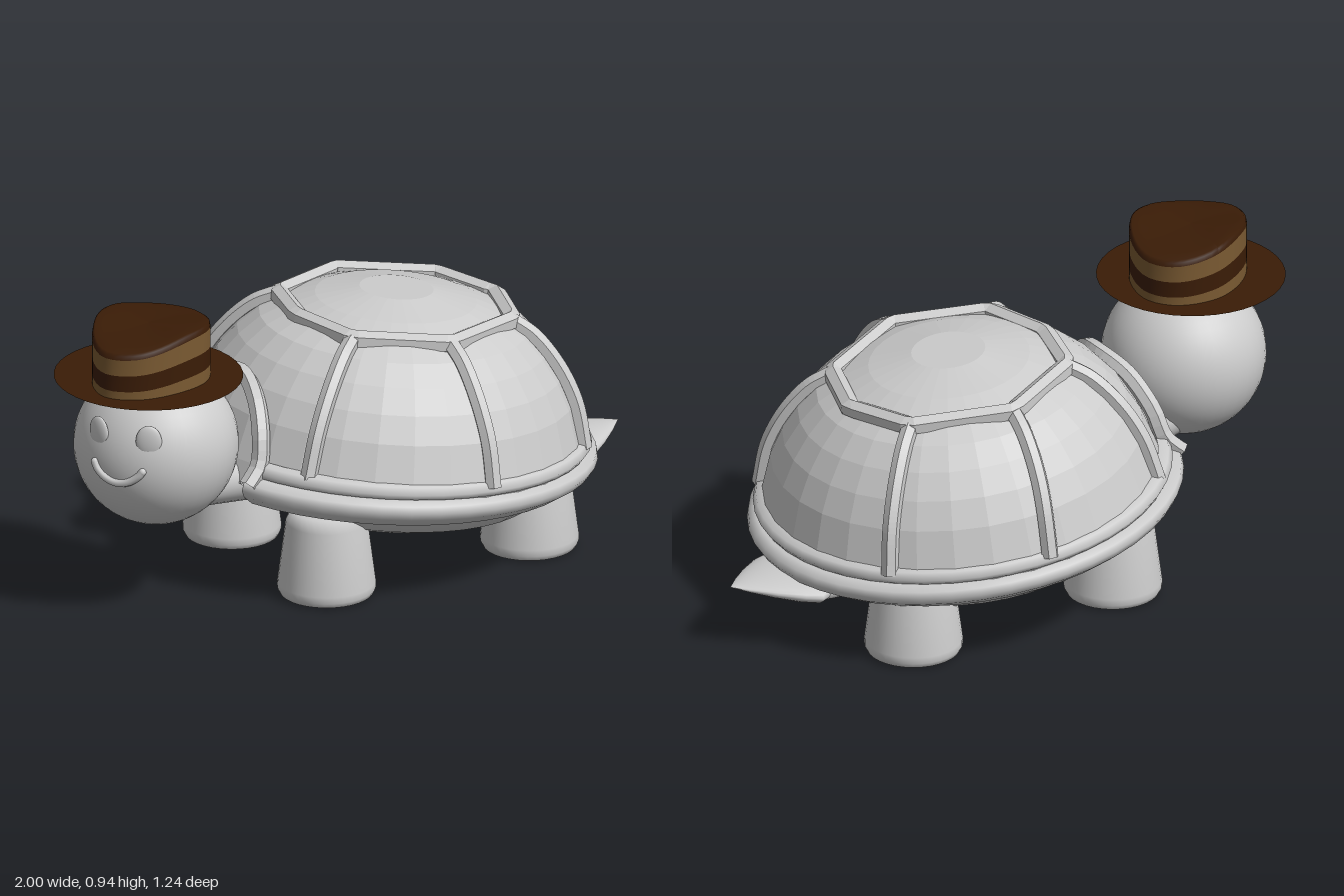
import * as THREE from 'three';

const V = (x, y, z) => new THREE.Vector3(x, y, z);
const P = (list) => list.map(([x, y]) => new THREE.Vector2(x, y));
const rad = THREE.MathUtils.degToRad;
const grey = new THREE.MeshStandardMaterial({ color: 0xcccccc });
const greyOpen = new THREE.MeshStandardMaterial({ color: 0xcccccc, side: THREE.DoubleSide });
const greyFlat = new THREE.MeshStandardMaterial({ color: 0xcccccc, flatShading: true, side: THREE.DoubleSide });
const dark = new THREE.MeshStandardMaterial({ color: 0x3a1c06, side: THREE.DoubleSide });
const tan = new THREE.MeshStandardMaterial({ color: 0x7a5a32, side: THREE.DoubleSide });

function add(parent, name, geometry, material = grey) {
  const mesh = new THREE.Mesh(geometry, material);
  mesh.name = name;
  parent.add(mesh);
  return mesh;
}

const pipe = (points, r, sides = 6) =>
  new THREE.TubeGeometry(new THREE.CatmullRomCurve3(points), 28, r, sides);

// Shell: dome with ring and ribs, belly, split rim, built level and then tilted
function buildShell() {
  const shell = new THREE.Group();
  shell.name = 'shell';
  shell.position.set(0.18, 0.3, 0);
  shell.rotation.z = -0.1;

  const top = new THREE.Group();
  top.name = 'shellTop';
  top.scale.x = 1.03;
  top.position.x = -0.008;
  shell.add(top);
  const dome = [[0.605, 0], [0.592, 0.07], [0.553, 0.2], [0.512, 0.28], [0.46, 0.35], [0.4, 0.408],
    [0.34, 0.442], [0.24, 0.48], [0.11, 0.51], [0, 0.51]];
  add(top, 'dome', new THREE.LatheGeometry(P(dome), 32), greyFlat);

  const corners = [[0, 0.35], [38, 0.35], [92, 0.345], [142, 0.345], [183, 0.325], [220, 0.35], [270, 0.35], [322, 0.35]]
    .map(([d, r]) => V(r * Math.cos(rad(d)), 0.447, r * Math.sin(rad(d))));
  const octagon = new THREE.CatmullRomCurve3(corners, true, 'catmullrom', 0);
  add(top, 'crownRing', new THREE.TubeGeometry(octagon, 80, 0.03, 6, true), greyFlat);

  // Each rib runs from an angle at the ring to an angle at the rim
  const rib = [[0.35, 0.445], [0.413, 0.41], [0.473, 0.351], [0.524, 0.28], [0.563, 0.2], [0.597, 0.07]];
  for (const [from, to] of [[38, 39], [92, 88], [142, 143], [220, 224], [270, 276], [322, 323]]) {
    const pts = rib.map(([r, y], i) => {
      const a = rad(from + (to - from) * i / (rib.length - 1));
      return V(r * Math.cos(a), y, r * Math.sin(a));
    });
    add(top, 'rib', pipe(pts, 0.026), greyFlat);
  }

  const belly = [[0, -0.185], [0.12, -0.184], [0.24, -0.175], [0.36, -0.15], [0.47, -0.108],
    [0.54, -0.055], [0.575, 0.0], [0.6, 0.03]];
  add(shell, 'belly', new THREE.LatheGeometry(P(belly), 40), greyOpen);

  // The rim is left open around the neck
  const gap = 0.38;
  const start = Math.PI * 1.5 + gap, sweep = Math.PI * 2 - gap * 2;
  const lower = [[0.52, -0.062], [0.57, -0.045], [0.61, -0.015], [0.622, 0.008], [0.617, 0.03], [0.595, 0.044], [0.55, 0.044]];
  const upper = [[0.56, 0.042], [0.6, 0.046], [0.61, 0.063], [0.6, 0.085], [0.57, 0.09]];
  for (const [name, profile, stretch, shift] of [['lowerRim', lower, 1.09, -0.02], ['upperRim', upper, 1.06, -0.016]]) {
    const rim = add(shell, name, new THREE.LatheGeometry(P(profile), 40, start, sweep), greyOpen);
    rim.scale.x = stretch;
    rim.position.x = shift;
  }
  return shell;
}

// Hat: waved colour bands around a rounded outline, saddle-shaped top, thin brim
function buildHat() {
  const hat = new THREE.Group();
  hat.name = 'hat';
  const cx = -0.72, cz = 0.1, N = 48;
  const outline = new THREE.CatmullRomCurve3([[-0.7, -0.085], [-0.57, -0.06], [-0.513, 0.02], [-0.53, 0.14],
    [-0.6, 0.24], [-0.72, 0.275], [-0.85, 0.26], [-0.925, 0.19], [-0.915, 0.1], [-0.83, -0.02]]
    .map(([x, z]) => V(x - cx, 0, z - cz)), true).getSpacedPoints(N);

  // A band joins loops of [scale, height, wave]
  function band(name, loops, material) {
    const pos = [], index = [];
    loops.forEach(([s, y, wave], k) => outline.forEach((p, i) => {
      const a = Math.atan2(p.z, p.x);
      pos.push(p.x * s, Math.min(0.944, y + wave * Math.cos(2 * (a - rad(58)))), p.z * s);
      if (k > 0 && i < N) {
        const b = k * (N + 1) + i, c = b - N - 1;
        index.push(c, b, c + 1, c + 1, b, b + 1);
      }
    }));
    const g = new THREE.BufferGeometry();
    g.setAttribute('position', new THREE.Float32BufferAttribute(pos, 3));
    g.setIndex(index);
    g.computeVertexNormals();
    add(hat, name, g, material);
  }
  band('lowerTanBand', [[1, 0.764, 0], [1, 0.797, 0.008]], tan);
  band('lowerDarkBand', [[1, 0.797, 0.008], [1, 0.852, 0.012]], dark);
  band('upperTanBand', [[1, 0.852, 0.012], [1, 0.909, 0.018]], tan);
  band('crownTop', [[1, 0.909, 0.018], [0.985, 0.923, 0.02], [0.95, 0.928, 0.019], [0.8, 0.932, 0.014],
    [0.5, 0.934, 0.006], [0, 0.934, 0]], dark);
  const brim = add(hat, 'brim', new THREE.CircleGeometry(0.285, 40), dark);
  brim.rotation.x = -Math.PI / 2;
  brim.scale.y = 1.015;
  brim.position.y = 0.764;
  hat.position.set(cx, 0, cz + 0.006);
  return hat;
}

// Head with face turned towards the front
function buildHead() {
  const head = new THREE.Group();
  head.name = 'head';
  head.position.set(-0.677, 0.526, 0.08);
  add(head, 'skull', new THREE.SphereGeometry(0.25, 40, 28));
  const onFace = (deg, y, r) => {
    const a = rad(deg), h = Math.sqrt(r * r - y * y);
    return V(-h * Math.sin(a), y, h * Math.cos(a));
  };
  for (const deg of [37, 80]) {
    const eye = add(head, 'eye', new THREE.SphereGeometry(1, 20, 14));
    eye.scale.set(0.04, 0.052, 0.014);
    eye.position.copy(onFace(deg, 0.093, 0.247));
    eye.rotation.y = -rad(deg);
  }
  const smile = [[41, 0.002], [44, -0.014], [51, -0.036], [60, -0.045], [69, -0.036], [76, -0.014], [79, 0.006]];
  add(head, 'mouth', pipe(smile.map(([d, y]) => onFace(d, y, 0.251)), 0.012, 8));
  for (const i of [0, smile.length - 1]) {
    add(head, 'mouthCorner', new THREE.SphereGeometry(0.012, 10, 8))
      .position.copy(onFace(smile[i][0], smile[i][1], 0.251));
  }
  return head;
}

export function createModel() {
  const turtle = new THREE.Group();
  turtle.name = 'turtle';
  turtle.add(buildShell(), buildHead(), buildHat());

  // Neck: a broad taper from the shell to the head
  const from = V(-0.2, 0.338, 0), to = V(-0.66, 0.385, 0.06);
  const neck = add(turtle, 'neck', new THREE.CylinderGeometry(0.085, 0.1, from.distanceTo(to), 28));
  neck.position.copy(from).lerp(to, 0.5);
  neck.quaternion.setFromUnitVectors(V(0, 1, 0), to.clone().sub(from).normalize());
  neck.scale.z = 1.3;

  // Arched edge of the shell over the neck
  const half = [[-0.455, 0.39, 0.245], [-0.405, 0.44, 0.23], [-0.38, 0.53, 0.2], [-0.35, 0.615, 0.12]];
  const arch = half.map(([x, y, z]) => V(x, y, z));
  arch.push(V(-0.325, 0.648, 0), ...half.reverse().map(([x, y, z]) => V(x, y, -z)));
  add(turtle, 'neckArch', pipe(arch, 0.028), greyFlat);

  // Tapered legs with rounded soles
  const leg = P([[0, 0], [0.128, 0], [0.142, 0.005], [0.149, 0.02], [0.149, 0.04], [0.124, 0.235], [0.105, 0.272], [0, 0.285]]);
  for (const [name, x] of [['frontLeg', -0.192], ['backLeg', 0.526]]) {
    for (const side of [1, -1]) {
      add(turtle, name, new THREE.LatheGeometry(leg, 32)).position.set(x, 0, side * 0.273);
    }
  }

  // Flat pointed tail, rounded off under the shell
  const tail = add(turtle, 'tail', new THREE.LatheGeometry(
    P([[0, -0.07], [0.1, -0.06], [0.15, -0.035], [0.168, 0], [0.148, 0.05], [0.1, 0.12], [0.045, 0.185], [0, 0.23]]), 28));
  tail.position.set(0.772, 0.184, 0.012);
  tail.rotation.z = -Math.PI / 2 + 0.135;
  tail.scale.x = 0.27;
  return turtle;
}
